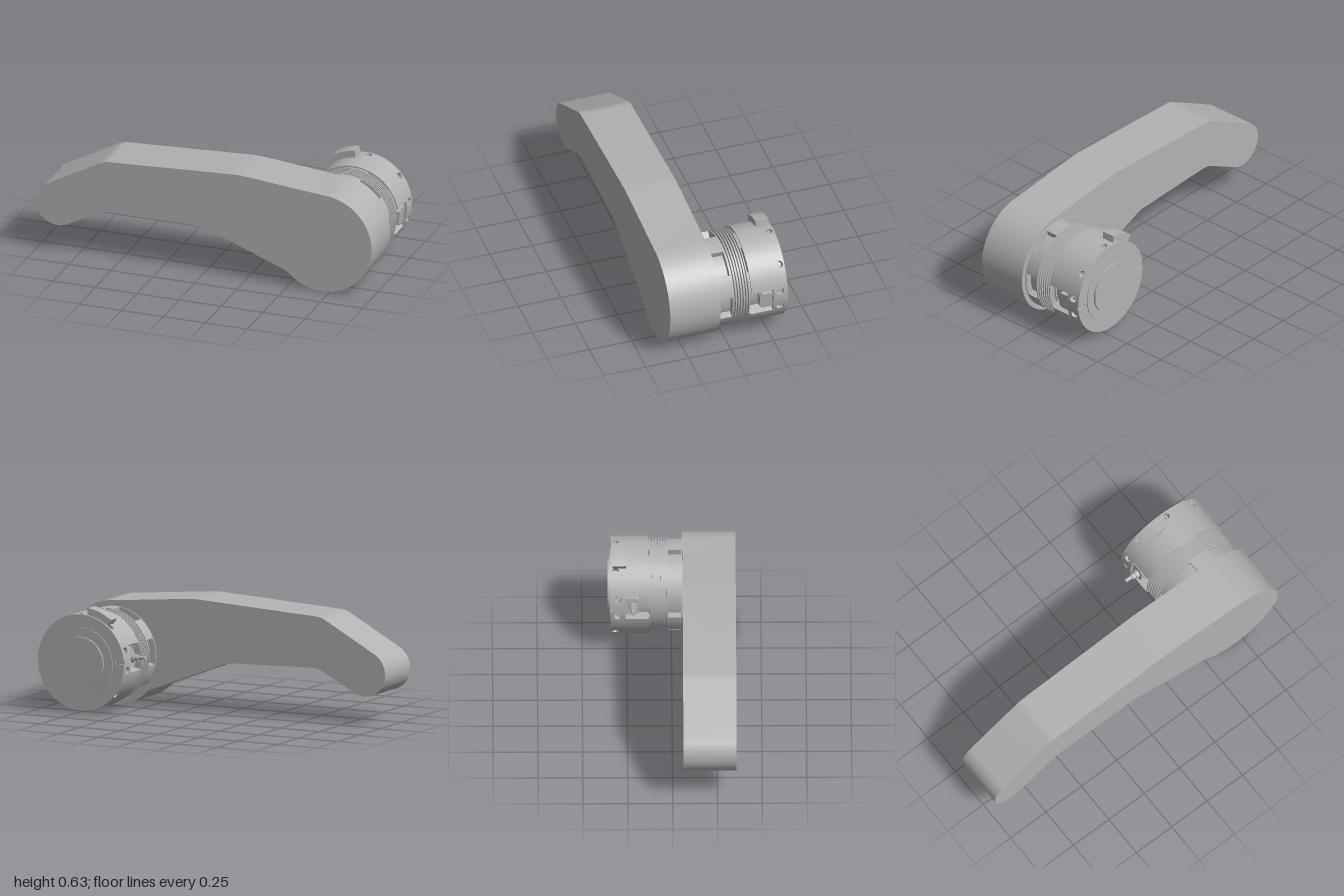
import * as THREE from 'three';
import { toCreasedNormals } from 'three/addons/utils/BufferGeometryUtils.js';

const RAD = Math.PI / 180;
const R = 0.272; // housing radius

export function createModel() {
  const model = new THREE.Group();
  const grey = new THREE.MeshStandardMaterial({ color: 0xb2b2b2 });
  grey.name = 'machined grey';

  const add = (parent, name, geometry) => {
    const mesh = new THREE.Mesh(geometry, grey);
    mesh.name = name;
    parent.add(mesh);
    return mesh;
  };

  // Extrude a shape between two z positions, keeping hard edges sharp
  const slab = (shape, z1, z2, curveSegments = 24) => {
    const g = new THREE.ExtrudeGeometry(shape, { depth: z2 - z1, bevelEnabled: false, curveSegments });
    g.translate(0, 0, z1);
    return toCreasedNormals(g, 0.4);
  };

  // Plain disc along z
  const disc = (r, z1, z2, sides = 96) => {
    const g = new THREE.CylinderGeometry(r, r, z2 - z1, sides);
    g.rotateX(Math.PI / 2);
    return g.translate(0, 0, (z1 + z2) / 2);
  };

  // Disc outline with pockets cut in at the given angles (ascending degrees)
  const notched = (r, floor, angles, half) => {
    const s = new THREE.Shape();
    let from = angles[angles.length - 1] + half - 360;
    for (const a of angles) {
      s.absarc(0, 0, r, from * RAD, (a - half) * RAD, false);
      s.absarc(0, 0, floor, (a - half) * RAD, (a + half) * RAD, false);
      from = a + half;
    }
    s.closePath();
    return s;
  };

  // Piece of the housing wall with a round bore through it
  const boredTile = (angle, zc, hole, floor, half, z1, z2) => {
    const n = 32, pos = [], index = [];
    const put = (r, t, z) => pos.push(r * Math.cos(t), r * Math.sin(t), z);
    for (let i = 0; i <= n; i++) {
      const a = (i / n) * Math.PI * 2, c = Math.cos(a), s = Math.sin(a);
      const k = 1 / Math.max(Math.abs(c), Math.abs(s));
      const t = angle * RAD, th = t + (hole * c) / R, zh = zc + hole * s;
      put(R, t + half * RAD * c * k, zc + s * k * (s > 0 ? z2 - zc : zc - z1));
      put(R, th, zh);
      put(floor, th, zh);
      if (i < n) for (let j = 0; j < 2; j++) {
        const o = i * 3 + j;
        index.push(o + 1, o, o + 3, o + 1, o + 3, o + 4);
      }
    }
    const g = new THREE.BufferGeometry();
    g.setAttribute('position', new THREE.Float32BufferAttribute(pos, 3));
    g.setIndex(index);
    return toCreasedNormals(g, 0.4);
  };

  // Cranked arm
  const arm = new THREE.Shape();
  arm.moveTo(-0.932, 0.406);
  arm.lineTo(-0.62, 0.576);
  arm.quadraticCurveTo(-0.594, 0.59, -0.56, 0.592);
  arm.lineTo(0.16, 0.629);
  arm.quadraticCurveTo(0.2, 0.632, 0.25, 0.628);
  arm.lineTo(0.72, 0.584);
  arm.absarc(0.707, 0.293, 0.293, 84 * RAD, -120 * RAD, true);
  arm.quadraticCurveTo(0.53, 0.058, 0.495, 0.092);
  arm.lineTo(0.04, 0.267);
  arm.quadraticCurveTo(0.01, 0.282, -0.03, 0.285);
  arm.lineTo(-0.52, 0.3);
  arm.quadraticCurveTo(-0.57, 0.302, -0.61, 0.282);
  arm.absarc(-0.87, 0.292, 0.13, -62 * RAD, -241.4 * RAD, true);
  add(model, 'arm', slab(arm, 0.06, 0.357, 40));

  // Everything on the pivot shares one axis
  const hub = new THREE.Group();
  hub.name = 'hub';
  hub.position.set(0.709, 0.291, 0);
  model.add(hub);

  // Clamp ring with six pockets next to the arm
  const six = [-6, 54, 114, 174, 234, 294];
  add(hub, 'clampRingFront', disc(0.263, 0.053, 0.06));
  add(hub, 'clampRingPockets', slab(notched(0.263, 0.225, six, 16), -0.02, 0.053));
  add(hub, 'clampRingBack', disc(0.263, -0.027, -0.02));

  // Bellows
  add(hub, 'bellowsCore', disc(0.242, -0.123, -0.027));
  for (let i = 0; i < 5; i++) {
    const z = -0.041 - i * 0.0158;
    add(hub, 'bellowsFin', disc(0.263, z - 0.0035, z + 0.0035));
  }
  add(hub, 'bellowsEnd', disc(0.263, -0.122, -0.116));
  add(hub, 'rearClampRing', slab(notched(0.263, 0.225, six, 16), -0.131, -0.122));

  // Housing with a connector pocket on each side
  add(hub, 'housingFront', slab(notched(R, 0.215, [-6, 174], 16.5), -0.258, -0.13, 64));
  add(hub, 'housingStep', disc(R, -0.264, -0.258));

  // Housing band with radial screw holes: angle, z, hole radius, has screw
  const holes = [
    [-50.5, -0.313, 0.019, false],
    [-17, -0.299, 0.021, true],
    [6.3, -0.299, 0.021, true],
    [39.5, -0.313, 0.019, false],
    [85, -0.313, 0.019, true],
    [129.5, -0.313, 0.019, false],
    [163, -0.299, 0.021, true],
    [186.3, -0.299, 0.021, true],
    [219.5, -0.313, 0.019, false],
  ];
  add(hub, 'housingBand', slab(notched(R, 0.236, holes.map((h) => h[0]), 6), -0.334, -0.264));
  for (const [angle, z, r, screw] of holes) {
    add(hub, 'screwHole', boredTile(angle, z, r, 0.235, 6, -0.334, -0.264));
    if (!screw) continue;
    const g = new THREE.CylinderGeometry(0.009, 0.009, 0.03, 16);
    g.rotateZ(Math.PI / 2).translate(0.248, 0, z).rotateZ(angle * RAD);
    add(hub, 'screw', g);
  }

  // Rear cover with alignment notches and raised centre
  add(hub, 'rearCover', slab(notched(R, 0.215, [-4, 176], 2.5), -0.341, -0.334, 64));
  add(hub, 'rearStep', disc(0.2, -0.346, -0.34));
  add(hub, 'rearBoss', disc(0.147, -0.357, -0.345));

  // Saddle-shaped lug on top
  const lug = new THREE.Shape();
  lug.absarc(0, 0, 0.312, 97 * RAD, 126 * RAD, false);
  lug.absarc(0, 0, 0.255, 126 * RAD, 97 * RAD, true);
  add(hub, 'topLug', slab(lug, -0.33, -0.254));

  // Chamfered connector block in each side pocket
  for (const angle of [-6, 174]) {
    const side = new THREE.Group();
    side.name = 'sideConnector';
    side.rotation.z = angle * RAD;
    hub.add(side);
    const block = new THREE.Shape([
      [0.182, -0.036], [0.196, -0.05], [0.257, -0.05], [0.257, 0.05], [0.196, 0.05], [0.182, 0.036],
    ].map(([x, y]) => new THREE.Vector2(x, y)));
    add(side, 'connectorBlock', slab(block, 0.2, 0.256).rotateY(Math.PI / 2));
  }

  // Cable plug on the right side: socket, collar and pin
  const plug = new THREE.Group();
  plug.name = 'cablePlug';
  plug.rotation.z = 174 * RAD;
  hub.add(plug);
  for (const [name, r, x1, x2] of [
    ['plugSocket', 0.024, 0.25, 0.278],
    ['plugCollar', 0.018, 0.275, 0.3],
    ['plugPin', 0.011, 0.298, 0.342],
  ]) {
    const g = new THREE.CylinderGeometry(r, r, x2 - x1, 24);
    g.rotateZ(Math.PI / 2).translate((x1 + x2) / 2, 0, -0.217);
    add(plug, name, g);
  }

  return model;
}
